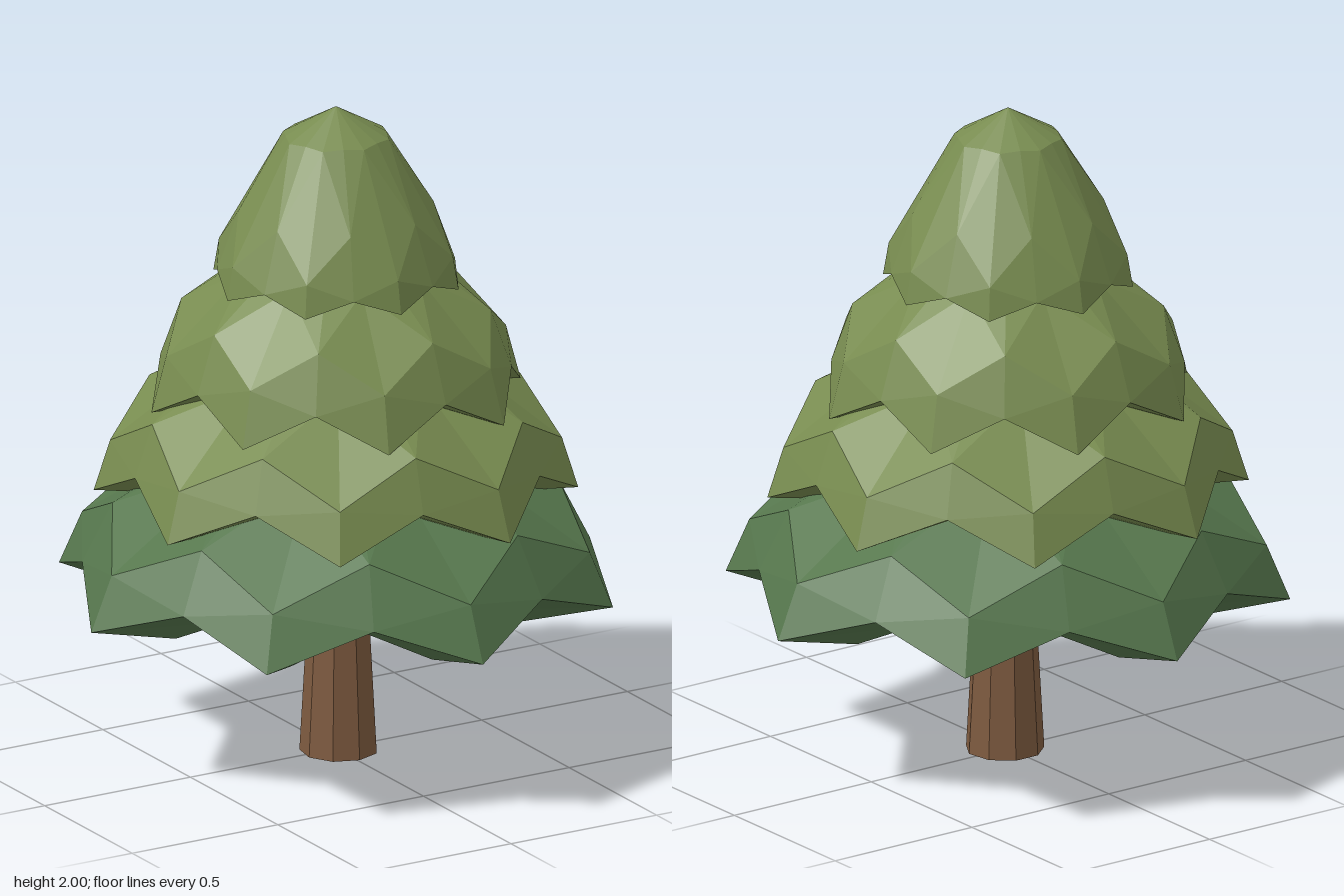
import * as THREE from 'three';

const TIPS = 8;

// One foliage tier: star-shaped rings listed from the inner underside, out over the rim, up to the top.
// Each ring is [tip radius, tip height, valley radius, valley height].
function tierGeometry(rings) {
  const n = TIPS * 2, positions = [], index = [];
  for (const [rTip, yTip, rValley, yValley] of rings) {
    for (let j = 0; j < n; j++) {
      const a = (j / n) * Math.PI * 2;
      const r = j % 2 ? rValley : rTip;
      positions.push(r * Math.cos(a), j % 2 ? yValley : yTip, -r * Math.sin(a));
    }
  }
  for (let i = 0; i < rings.length - 1; i++) {
    for (let j = 0; j < n; j++) {
      const k = (j + 1) % n;
      const a = i * n + j, b = i * n + k, c = a + n, d = b + n;
      // Mirror the diagonals so both sides of a tip match
      if (j % 2) index.push(a, b, d, a, d, c);
      else index.push(a, b, c, b, d, c);
    }
  }
  const g = new THREE.BufferGeometry();
  g.setAttribute('position', new THREE.Float32BufferAttribute(positions, 3));
  g.setIndex(index);
  const flat = g.toNonIndexed();
  flat.computeVertexNormals();
  return flat;
}

export function createModel() {
  const group = new THREE.Group();
  const material = (name, color) => {
    const m = new THREE.MeshStandardMaterial({ color, flatShading: true });
    m.name = name;
    return m;
  };
  const darkGreen = material('darkGreen', 0x56774d);
  const oliveGreen = material('oliveGreen', 0x788c50);
  const bark = material('bark', 0x7d5a3f);
  bark.side = THREE.DoubleSide;

  // Tapered trunk, open at the foot, running up into the foliage
  const trunk = new THREE.Mesh(new THREE.CylinderGeometry(0.07, 0.117, 0.85, 9, 1, true), bark);
  trunk.name = 'trunk';
  trunk.position.set(0.006, 0.425, 0.008);
  group.add(trunk);

  // Foliage tiers, each turned 15 degrees from the one below
  const tiers = [
    ['bottomFoliage', darkGreen, 0, [
      [0.03, 0.74, 0.03, 0.74],
      [0.4, 0.6, 0.36, 0.69],
      [0.55, 0.44, 0.52, 0.54],
      [0.84, 0.51, 0.755, 0.62],
      [0.77, 0.675, 0.665, 0.8],
      [0.35, 0.95, 0.35, 0.95],
      [0, 1, 0, 1],
    ]],
    ['lowerFoliage', oliveGreen, 15, [
      [0.03, 0.98, 0.03, 0.98],
      [0.52, 0.8, 0.49, 0.89],
      [0.713, 0.81, 0.645, 0.93],
      [0.665, 0.965, 0.59, 1.09],
      [0.35, 1.22, 0.35, 1.22],
      [0, 1.28, 0, 1.28],
    ]],
    ['upperFoliage', oliveGreen, 30, [
      [0.03, 1.27, 0.03, 1.27],
      [0.42, 1.11, 0.4, 1.19],
      [0.565, 1.1, 0.52, 1.21],
      [0.52, 1.27, 0.458, 1.385],
      [0.28, 1.51, 0.28, 1.51],
      [0, 1.58, 0, 1.58],
    ]],
    ['crownFoliage', oliveGreen, 45, [
      [0.03, 1.56, 0.03, 1.56],
      [0.28, 1.47, 0.27, 1.51],
      [0.372, 1.46, 0.354, 1.51],
      [0.355, 1.56, 0.29, 1.69],
      [0.16, 1.91, 0.15, 1.915],
      [0, 2, 0, 2],
    ]],
  ];
  for (const [name, mat, degrees, rings] of tiers) {
    const mesh = new THREE.Mesh(tierGeometry(rings), mat);
    mesh.name = name;
    mesh.rotation.y = THREE.MathUtils.degToRad(degrees);
    group.add(mesh);
  }
  return group;
}
